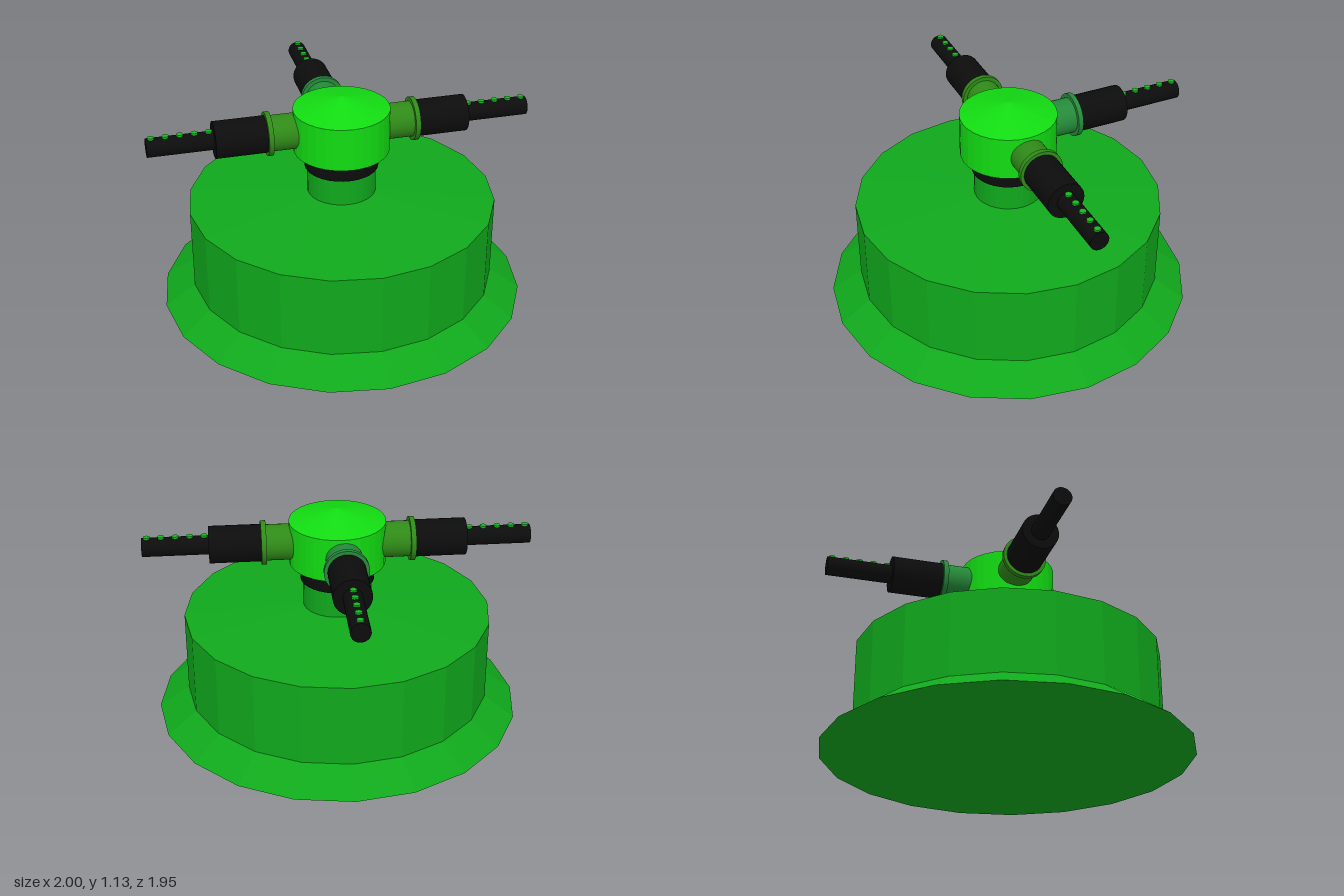
import * as THREE from 'three';

const paint = (color, flatShading = false) => new THREE.MeshStandardMaterial({ color, flatShading });
const baseGreen = paint(0x10a81c, true);
const headGreen = paint(0x12dc12, true);
const pipeGreen = paint(0x2f8a18);
const backGreen = paint(0x258a3a);
const dotGreen = paint(0x16b81e);
const black = paint(0x0c0c0c);

function add(parent, name, geometry, material) {
  const mesh = new THREE.Mesh(geometry, material);
  mesh.name = name;
  parent.add(mesh);
  return mesh;
}

// Upright cylinder or cone between two heights
function drum(parent, name, rTop, rBottom, y0, y1, sides, material) {
  const mesh = add(parent, name, new THREE.CylinderGeometry(rTop, rBottom, y1 - y0, sides), material);
  mesh.position.y = (y0 + y1) / 2;
  return mesh;
}

// Cylinder lying along +x between two distances
function rod(parent, name, radius, x0, x1, material) {
  const geometry = new THREE.CylinderGeometry(radius, radius, x1 - x0, 32).rotateZ(-Math.PI / 2);
  const mesh = add(parent, name, geometry, material);
  mesh.position.x = (x0 + x1) / 2;
  return mesh;
}

// Outlet arm: pipe, flange, sleeve and a nozzle with a row of studs
function makeArm(name, green) {
  const arm = new THREE.Group();
  arm.name = name;
  rod(arm, 'pipe', 0.093, 0.18, 0.385, green);
  rod(arm, 'flange', 0.114, 0.368, 0.394, green);
  rod(arm, 'sleeve', 0.096, 0.38, 0.66, black);
  rod(arm, 'nozzle', 0.049, 0.64, 1.0, black);
  for (let i = 0; i < 5; i++) {
    const stud = add(arm, 'stud', new THREE.CylinderGeometry(0.017, 0.017, 0.03, 16), dotGreen);
    stud.position.set(0.682 + i * 0.0728, 0.042, 0);
  }
  return arm;
}

export function createModel() {
  const model = new THREE.Group();
  model.name = 'sprinkler';

  // Faceted base with sloping skirt and shallow roof
  const body = new THREE.Group();
  body.name = 'body';
  body.position.z = 0.005;
  model.add(body);
  const profile = [[0, 0], [0.965, 0], [0.806, 0.11], [0.806, 0.548], [0.18, 0.592], [0, 0.592]]
    .map(([x, y]) => new THREE.Vector2(x, y));
  add(body, 'base', new THREE.LatheGeometry(profile, 20), baseGreen);

  // Neck, collar and rotating head
  drum(body, 'neck', 0.18, 0.18, 0.58, 0.75, 32, baseGreen);
  drum(body, 'collar', 0.193, 0.193, 0.738, 0.836, 32, black);
  drum(body, 'head', 0.25, 0.25, 0.833, 1.063, 32, headGreen);
  const cap = add(body, 'cap', new THREE.ConeGeometry(0.25, 0.065, 32), headGreen);
  cap.position.y = 1.0955;

  // Three arms: left, right and back
  const arms = [
    ['leftArm', 0, 0, 0.003, pipeGreen],
    ['rightArm', Math.PI, 0, -0.016, pipeGreen],
    ['backArm', Math.PI / 2, -0.012, 0.018, backGreen],
  ];
  for (const [name, turn, x, z, green] of arms) {
    const arm = makeArm(name, green);
    arm.rotation.y = turn;
    arm.position.set(x, 0.952, z);
    model.add(arm);
  }
  return model;
}
